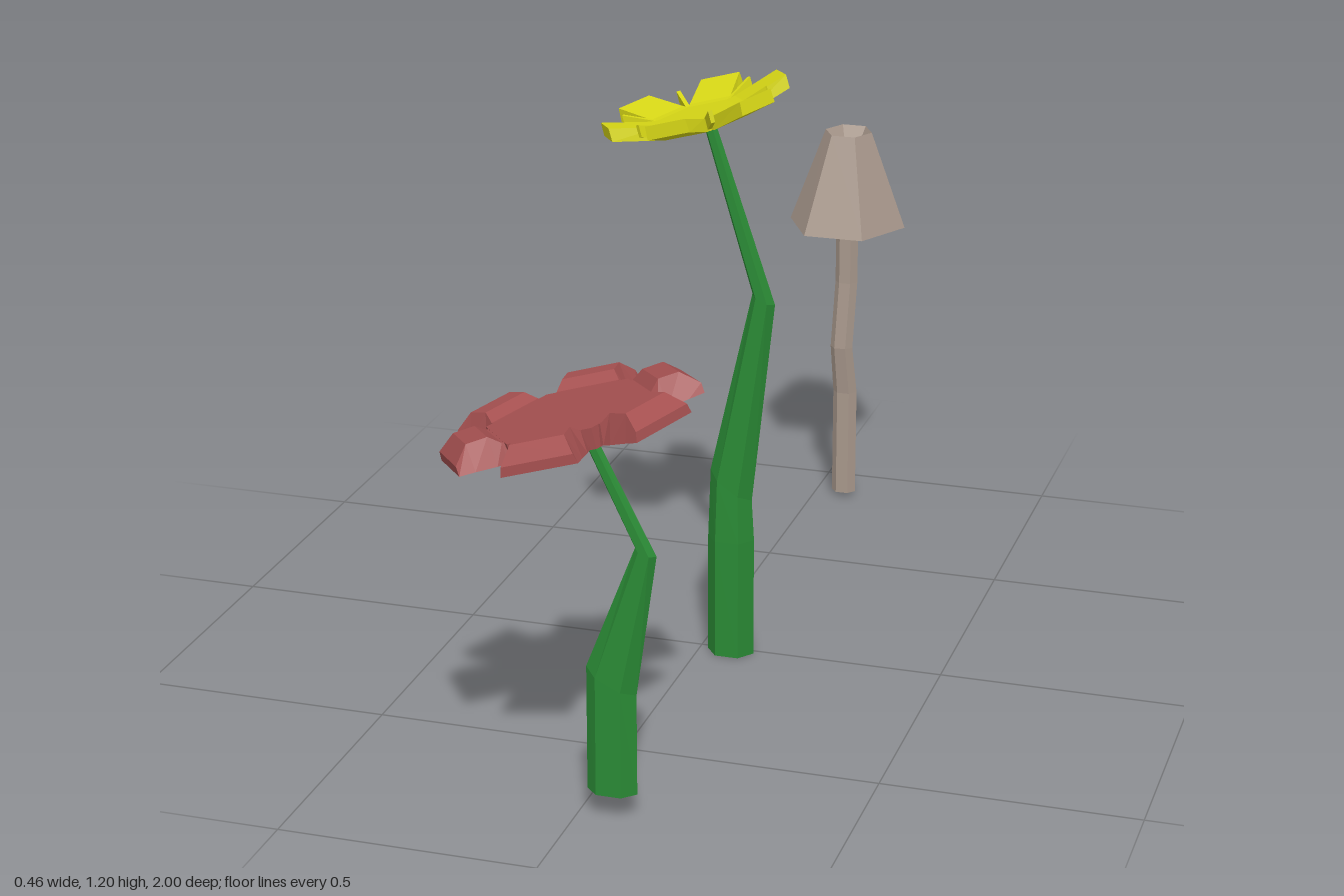
import * as THREE from 'three';

const mat = (color) => new THREE.MeshStandardMaterial({ color, flatShading: true, roughness: 0.8 });
const GREEN = mat(0x2a8a35), YELLOW = mat(0xd8d816), RED = mat(0xa55050), TAN = mat(0xa8988c);

// Skin a list of equal-sized point rings, cap both ends, face outwards
function loft(rings) {
  const tris = [], n = rings[0].length;
  for (let i = 0; i < rings.length - 1; i++) {
    for (let j = 0; j < n; j++) {
      const k = (j + 1) % n, a = rings[i], b = rings[i + 1];
      tris.push([a[j], b[j], b[k]], [a[j], b[k], a[k]]);
    }
  }
  const first = rings[0], last = rings[rings.length - 1];
  for (let j = 1; j < n - 1; j++) {
    tris.push([first[0], first[j], first[j + 1]], [last[0], last[j + 1], last[j]]);
  }
  const volume = tris.reduce((s, [a, b, c]) => s + a.dot(b.clone().cross(c)), 0);
  const points = tris.flatMap(([a, b, c]) => (volume < 0 ? [a, c, b] : [a, b, c]));
  const geometry = new THREE.BufferGeometry().setFromPoints(points);
  geometry.computeVertexNormals();
  return geometry;
}

// Six-sided ring: centre, half width in x, half depth in z, lean about z
function hexRing([x, y, z, hx, hz, lean = 0]) {
  return Array.from({ length: 6 }, (_, i) => {
    const a = (i * Math.PI) / 3, u = hx * Math.cos(a);
    return new THREE.Vector3(x + u * Math.cos(lean), y + u * Math.sin(lean), z + (hz / 0.866) * Math.sin(a));
  });
}

// Petal section across +x: radius, bottom, top, half width below and above
function petalRing([r, y0, y1, w0, w1]) {
  return [[y0, -w0], [y0, w0], [y1, w1], [y1, -w1]].map(([y, z]) => new THREE.Vector3(r, y, z));
}

function add(parent, name, geometry, material) {
  const mesh = new THREE.Mesh(geometry, material);
  mesh.name = name;
  parent.add(mesh);
  return mesh;
}

// Six copies turned around the bloom's axis
function around(parent, name, geometry, material, startDeg) {
  for (let i = 0; i < 6; i++) {
    add(parent, name, geometry, material).rotation.y = -THREE.MathUtils.degToRad(startDeg + i * 60);
  }
}

// Tilted flower head with a hexagonal centre, corners between the petals
function bloom(name, position, material, radius, height, petalSections, startDeg) {
  const head = new THREE.Group();
  head.name = name;
  head.position.set(...position);
  head.rotation.z = 0.273;
  const disc = new THREE.CylinderGeometry(radius, radius * 0.97, height, 6);
  disc.rotateY(Math.PI / 2 - THREE.MathUtils.degToRad(startDeg + 30));
  disc.translate(0, height / 2, 0);
  add(head, 'flowerCentre', disc, material);
  around(head, 'petal', loft(petalSections.map(petalRing)), material, startDeg);
  return head;
}

export function createModel() {
  const model = new THREE.Group();
  model.name = 'flowersAndMushroom';

  // Tall yellow flower
  const tall = new THREE.Group();
  tall.name = 'yellowFlower';
  add(tall, 'stem', loft([
    [0.065, 0, 0.013, 0.048, 0.032],
    [0.065, 0.25, 0.013, 0.048, 0.032],
    [0.065, 0.364, 0.013, 0.052, 0.028, -0.6],
    [0.13, 0.762, 0.013, 0.025, 0.019, -0.4],
    [0.017, 1.115, 0.013, 0.012, 0.01, 0.27],
  ].map(hexRing)), GREEN);
  const yellowBloom = bloom('yellowBloom', [0, 1.105, 0.013], YELLOW, 0.098, 0.024, [
    [0.07, 0, 0.024, 0.042, 0.042],
    [0.088, 0, 0.026, 0.043, 0.043],
    [0.18, 0.025, 0.052, 0.043, 0.041],
  ], 30);
  // Thin sepals between the petals
  around(yellowBloom, 'sepal', loft([
    [0.085, 0, 0.024, 0.004, 0.004],
    [0.15, 0.024, 0.048, 0.004, 0.004],
  ].map(petalRing)), YELLOW, 0);
  tall.add(yellowBloom);
  model.add(tall);

  // Short red flower
  const short = new THREE.Group();
  short.name = 'redFlower';
  add(short, 'stem', loft([
    [0.065, 0.05, 0.769, 0.048, 0.024],
    [0.065, 0.272, 0.769, 0.053, 0.023, -0.45],
    [0.132, 0.532, 0.769, 0.021, 0.015, -0.3],
    [0.018, 0.76, 0.769, 0.012, 0.009, 0.35],
  ].map(hexRing)), GREEN);
  short.add(bloom('redBloom', [0, 0.745, 0.767], RED, 0.157, 0.04, [
    [0.11, 0.002, 0.038, 0.064, 0.06],
    [0.14, 0.002, 0.04, 0.066, 0.06],
    [0.16, 0.004, 0.056, 0.068, 0.05],
    [0.2, 0.008, 0.056, 0.07, 0.05],
    [0.23, 0.01, 0.028, 0.071, 0.066],
  ], 25));
  model.add(short);

  // Mushroom: kinked stalk and hollow cap with a sunken top
  const mushroom = new THREE.Group();
  mushroom.name = 'mushroom';
  add(mushroom, 'stalk', loft([
    [0.066, 0.01, -0.879, 0.027, 0.017],
    [0.066, 0.25, -0.879, 0.027, 0.017],
    [0.06, 0.36, -0.865, 0.025, 0.016],
    [0.066, 0.51, -0.877, 0.025, 0.016],
    [0.066, 0.8, -0.877, 0.025, 0.016],
  ].map(hexRing)), TAN);
  add(mushroom, 'cap', loft([
    [0.066, 0.76, -0.877, 0.022, 0.016],
    [0.066, 0.647, -0.877, 0.13, 0.123],
    [0.066, 0.857, -0.877, 0.052, 0.048],
    [0.066, 0.805, -0.877, 0.023, 0.02],
  ].map(hexRing)), TAN);
  model.add(mushroom);

  return model;
}
